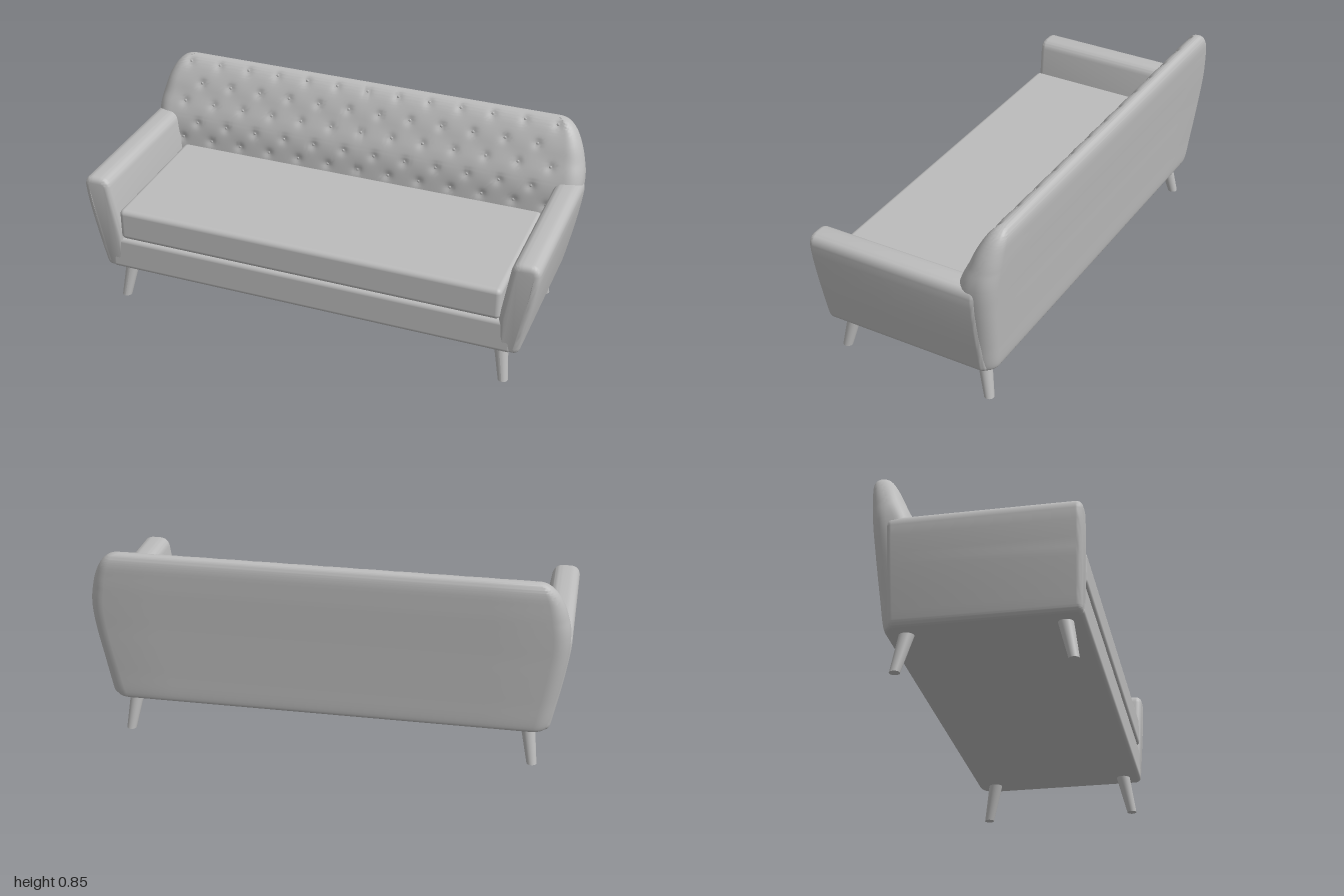
import * as THREE from 'three';
import { mergeVertices, toCreasedNormals } from 'three/addons/utils/BufferGeometryUtils.js';
import { RoundedBoxGeometry } from 'three/addons/geometries/RoundedBoxGeometry.js';

// Staggered tuft positions on the backrest: [x, y]
function tuftPoints() {
  const tufts = [];
  [0.49, 0.567, 0.655, 0.738, 0.818].forEach((y, row) => {
    const shift = row % 2 ? 0.5 : 0;
    for (let k = -6; k <= 6; k++) {
      const x = (k + shift) * 0.142;
      if (Math.abs(x) < 0.87) tufts.push([x, y]);
    }
  });
  return tufts;
}

// Backrest profile rows: height, half width, front z, back z
const BACK_ROWS = [
  [0.163, 0.90, -0.24, -0.345], [0.18, 0.925, -0.225, -0.364], [0.30, 0.95, -0.22, -0.376],
  [0.42, 0.972, -0.222, -0.387], [0.50, 0.984, -0.228, -0.394], [0.57, 0.99, -0.237, -0.401],
  [0.63, 0.988, -0.256, -0.407], [0.69, 0.976, -0.283, -0.413], [0.74, 0.96, -0.303, -0.417],
  [0.785, 0.938, -0.326, -0.42], [0.815, 0.915, -0.345, -0.418], [0.834, 0.89, -0.363, -0.411],
  [0.843, 0.86, -0.379, -0.402], [0.845, 0.84, -0.388, -0.394],
];
const spline = (points) => new THREE.CatmullRomCurve3(points, false, 'catmullrom', 0.5);
const frontCurve = spline(BACK_ROWS.map(([y, w, zf]) => new THREE.Vector3(w, y, zf)));
const rearCurve = spline(BACK_ROWS.map(([y, , , zb]) => new THREE.Vector3(zb, y, 0)));

// Backrest lofted from rounded rectangles, with dimples pressed into its front
function backGeometry(tufts) {
  const rows = 91, frontCols = 200, rearCols = 8, cornerSteps = 7;
  const position = [], index = [];
  let ring = 0;
  for (let j = 0; j < rows; j++) {
    const t = j / (rows - 1);
    const { x: w, y, z: zf } = frontCurve.getPoint(t);
    const zb = rearCurve.getPoint(t).x;
    const r = Math.min(0.065, (zf - zb) * 0.48);
    const points = [];
    const near = tufts.filter((p) => Math.abs(p[1] - y) < 0.06);
    for (let i = 0; i <= frontCols; i++) {
      const x = (w - r) * (2 * i / frontCols - 1);
      let dent = 0;
      for (const [tx, ty] of near) {
        const d2 = (x - tx) ** 2 + (y - ty) ** 2;
        dent += 0.008 * Math.exp(-d2 / 0.0003) + 0.003 * Math.exp(-d2 / 0.0012);
      }
      points.push([x, zf - Math.min(dent, (zf - zb) * 0.4)]);
    }
    const corner = (cx, cz, start) => {
      for (let i = 1; i < cornerSteps; i++) {
        const a = start + (i / cornerSteps) * Math.PI / 2;
        points.push([cx + r * Math.sin(a), cz + r * Math.cos(a)]);
      }
    };
    corner(w - r, zf - r, 0);
    points.push([w, zf - r], [w, zb + r]);
    corner(w - r, zb + r, Math.PI / 2);
    for (let i = 0; i <= rearCols; i++) points.push([(w - r) * (1 - 2 * i / rearCols), zb]);
    corner(-w + r, zb + r, Math.PI);
    points.push([-w, zb + r], [-w, zf - r]);
    corner(-w + r, zf - r, Math.PI * 1.5);
    ring = points.length;
    for (const [x, z] of points) position.push(x, y, z);
  }
  for (let j = 0; j < rows - 1; j++) {
    for (let i = 0; i < ring; i++) {
      const a = j * ring + i, b = j * ring + (i + 1) % ring;
      index.push(a, b, b + ring, a, b + ring, a + ring);
    }
  }
  // End caps
  const bottom = position.length / 3, last = (rows - 1) * ring;
  position.push(0, 0.163, -0.29, 0, 0.845, -0.391);
  for (let i = 0; i < ring; i++) {
    const n = (i + 1) % ring;
    index.push(bottom, n, i, bottom + 1, last + i, last + n);
  }
  const geometry = new THREE.BufferGeometry();
  geometry.setAttribute('position', new THREE.Float32BufferAttribute(position, 3));
  geometry.setIndex(index);
  return toCreasedNormals(geometry, 1);
}

// Arm outline seen from the front, extruded along z with soft ends
function armGeometry() {
  const s = new THREE.Shape();
  s.moveTo(0.835, 0.163);
  s.lineTo(0.905, 0.163);
  s.quadraticCurveTo(0.925, 0.165, 0.931, 0.19);
  s.bezierCurveTo(0.955, 0.3, 0.985, 0.44, 0.996, 0.55);
  s.quadraticCurveTo(1.0, 0.6, 0.955, 0.603);
  s.lineTo(0.925, 0.603);
  s.quadraticCurveTo(0.885, 0.603, 0.877, 0.565);
  s.lineTo(0.838, 0.33);
  s.closePath();
  const bevel = 0.025;
  const geometry = new THREE.ExtrudeGeometry(s, {
    depth: 0.71, curveSegments: 10, bevelEnabled: true, bevelSize: bevel,
    bevelThickness: bevel, bevelOffset: -bevel, bevelSegments: 5,
  });
  geometry.translate(0, 0, -0.315);
  // Lean the lower front edge slightly inwards
  const p = geometry.attributes.position;
  for (let i = 0; i < p.count; i++) {
    if (p.getZ(i) > 0) p.setZ(i, p.getZ(i) - 0.045 * Math.max(0, 0.5 - p.getY(i)));
  }
  geometry.deleteAttribute('uv');
  geometry.deleteAttribute('normal');
  return toCreasedNormals(mergeVertices(geometry, 1e-5), 0.7);
}

// Tapered leg sheared so both ends stay level
function legGeometry(top, foot) {
  const geometry = new THREE.CylinderGeometry(0.031, 0.021, 0.175, 24);
  geometry.translate(0, 0.0875, 0);
  const p = geometry.attributes.position;
  for (let i = 0; i < p.count; i++) {
    const t = p.getY(i) / 0.175;
    p.setX(i, p.getX(i) + foot[0] + (top[0] - foot[0]) * t);
    p.setZ(i, p.getZ(i) + foot[1] + (top[1] - foot[1]) * t);
  }
  geometry.computeVertexNormals();
  return geometry;
}

export function createModel() {
  const model = new THREE.Group();
  model.name = 'sofa';
  const grey = new THREE.MeshStandardMaterial({ color: 0xbcbcbc });
  grey.name = 'light grey';
  const add = (name, geometry, parent = model) => {
    const mesh = new THREE.Mesh(geometry, grey);
    mesh.name = name;
    parent.add(mesh);
    return mesh;
  };

  // Base and seat
  add('base', new RoundedBoxGeometry(1.8, 0.152, 0.737, 5, 0.02)).position.set(0, 0.239, 0.0385);
  add('seatCushion', new RoundedBoxGeometry(1.69, 0.143, 0.65, 5, 0.022)).position.set(0, 0.389, 0.087);

  // Tufted backrest with buttons
  const tufts = tuftPoints();
  add('backrest', backGeometry(tufts));
  const buttons = new THREE.Group();
  buttons.name = 'buttons';
  model.add(buttons);
  const button = new THREE.SphereGeometry(0.007, 10, 6);
  for (const [x, y] of tufts) {
    let low = 0, high = 1;
    for (let i = 0; i < 20; i++) {
      const mid = (low + high) / 2;
      if (frontCurve.getPoint(mid).y < y) low = mid; else high = mid;
    }
    const mesh = add('button', button, buttons);
    mesh.position.set(x, y, frontCurve.getPoint(low).z - 0.011);
    mesh.scale.z = 0.6;
  }

  // Arms, the right one turned from the same symmetric outline
  const left = armGeometry();
  add('leftArm', left);
  const right = left.clone();
  const p = right.attributes.position, n = right.attributes.normal;
  for (let i = 0; i < p.count; i += 3) {
    for (const a of [p, n]) {
      const v = [0, 2, 1].map((k) => new THREE.Vector3().fromBufferAttribute(a, i + k));
      v.forEach((q, k) => a.setXYZ(i + k, -q.x, q.y, q.z));
    }
  }
  add('rightArm', right);

  // Splayed legs
  for (const side of [1, -1]) {
    const name = side > 0 ? 'Left' : 'Right';
    add('front' + name + 'Leg', legGeometry([side * 0.835, 0.327], [side * 0.863, 0.362]));
    add('rear' + name + 'Leg', legGeometry([side * 0.835, -0.28], [side * 0.863, -0.317]));
  }
  return model;
}
